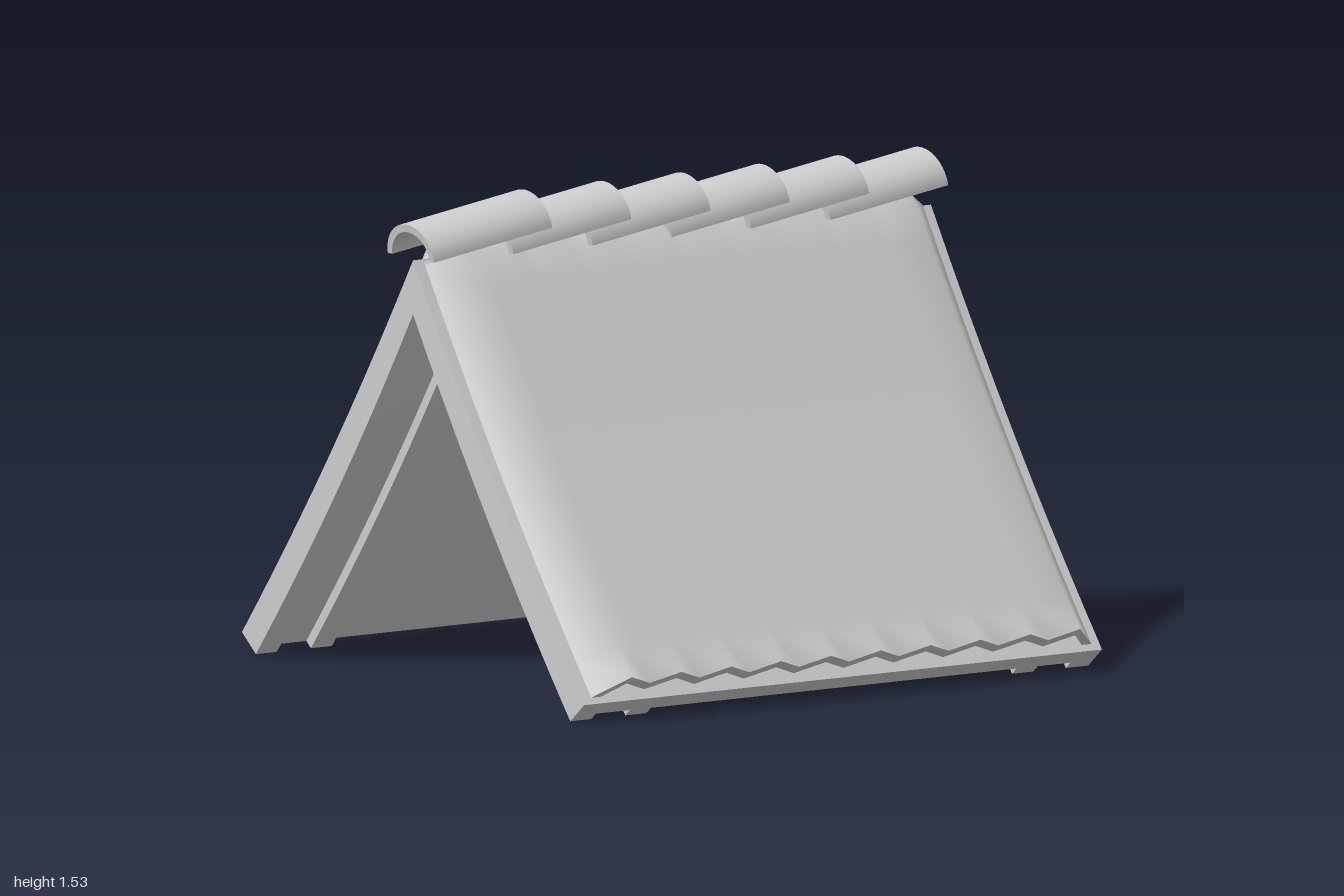
import * as THREE from 'three';
import { toCreasedNormals } from 'three/addons/utils/BufferGeometryUtils.js';

const material = new THREE.MeshStandardMaterial({ color: 0xcccccc });
const v2 = (x, y) => new THREE.Vector2(x, y);

// Sagging slope lines on the +x side: top and underside of the rafters
const topLine = new THREE.QuadraticBezierCurve(v2(0, 1.345), v2(0.42, 0.675), v2(0.92, 0.06));
const underLine = new THREE.QuadraticBezierCurve(v2(0, 1.175), v2(0.385, 0.56), v2(0.845, 0));

function addMesh(parent, name, geometry) {
  const mesh = new THREE.Mesh(geometry, material);
  mesh.name = name;
  parent.add(mesh);
  return mesh;
}

// Inverted V between the top line and a line part of the way to the underside
function slopeGeometry(depthFraction, zBack, zFront) {
  const n = 10;
  const outer = topLine.getPoints(n);
  const under = underLine.getPoints(n);
  const inner = outer.map((p, i) => p.clone().lerp(under[i], depthFraction));
  const mirror = (p) => v2(-p.x, p.y);
  const outline = [
    ...outer.slice().reverse(),
    ...outer.slice(1).map(mirror),
    ...inner.slice(1).reverse().map(mirror),
    ...inner,
  ];
  const geometry = new THREE.ExtrudeGeometry(new THREE.Shape(outline), {
    depth: zFront - zBack, bevelEnabled: false,
  });
  geometry.translate(0, 0, zBack);
  return toCreasedNormals(geometry, 0.4);
}

// Corrugated sheet running from one eave over the ridge to the other
function sheetGeometry() {
  const thickness = 0.037;
  // Cross-section along z: height above the rafters
  const upper = [[0.937, 0]];
  for (let i = 0; i <= 18; i++) upper.push([0.84 - i * 0.095, i % 2 ? 0.055 : 0.105]);
  upper.push([-0.97, 0]);
  const lower = upper.map(([z, h]) => [
    h === 0 ? z - Math.sign(z) * thickness : z, Math.max(0, h - thickness),
  ]);
  const n = upper.length;
  const loop = [...upper, ...lower.reverse()];

  // Rows: a base point and its outward direction
  const side = [];
  for (let i = 0; i <= 12; i++) {
    const t = 0.015 + (0.985 - 0.015) * i / 12;
    const tangent = topLine.getTangent(t);
    side.push({ p: topLine.getPoint(t), d: v2(-tangent.y, tangent.x) });
  }
  const mirrored = side.map(({ p, d }) => ({ p: v2(-p.x, p.y), d: v2(-d.x, d.y) }));
  const rows = [...side.reverse(), { p: v2(0, 1.345), d: v2(0, 0.85) }, ...mirrored];

  const positions = [];
  const index = [];
  for (const { p, d } of rows) {
    for (const [z, h] of loop) positions.push(p.x + d.x * h, p.y + d.y * h, z);
  }
  const m = loop.length;
  for (let r = 0; r < rows.length - 1; r++) {
    for (let i = 0; i < m; i++) {
      const a = r * m + i, c = r * m + (i + 1) % m;
      index.push(a, c, a + m, a + m, c, c + m);
    }
  }
  // Zigzag end faces at both eaves
  const last = (rows.length - 1) * m;
  for (let i = 0; i < n - 1; i++) {
    const u = i, w = i + 1, l = m - 1 - i, k = m - 2 - i;
    index.push(u, l, w, l, k, w);
    index.push(last + u, last + w, last + l, last + l, last + w, last + k);
  }
  const geometry = new THREE.BufferGeometry();
  geometry.setAttribute('position', new THREE.Float32BufferAttribute(positions, 3));
  geometry.setIndex(index);
  return toCreasedNormals(geometry, 1.4);
}

// Half-round ridge tile, its back end at z = 0
function tileGeometry() {
  const shape = new THREE.Shape();
  shape.absellipse(0, 0, 0.125, 0.107, 0, Math.PI, false);
  shape.absellipse(0, 0, 0.1, 0.082, Math.PI, 0, true);
  shape.closePath();
  const geometry = new THREE.ExtrudeGeometry(shape, {
    depth: 0.455, bevelEnabled: false, curveSegments: 14,
  });
  return toCreasedNormals(geometry, 0.7);
}

export function createModel() {
  const model = new THREE.Group();
  model.name = 'roof';

  // Four rafter pairs under a thinner ceiling board
  const rafters = new THREE.Group();
  rafters.name = 'rafters';
  model.add(rafters);
  for (const [back, front] of [[0.895, 0.975], [0.685, 0.765], [-0.79, -0.71], [-1, -0.915]]) {
    addMesh(rafters, 'rafterPair', slopeGeometry(1, back, front));
  }
  addMesh(model, 'ceilingBoard', slopeGeometry(0.67, -0.99, 0.965));

  addMesh(model, 'corrugatedSheet', sheetGeometry());

  // Overlapping ridge tiles, each dipping towards the front
  const ridge = new THREE.Group();
  ridge.name = 'ridgeTiles';
  model.add(ridge);
  const tile = tileGeometry();
  for (let i = 0; i < 6; i++) {
    const mesh = addMesh(ridge, 'ridgeTile', tile);
    mesh.position.set(0, 1.424, 0.533 - i * 0.302);
    mesh.rotation.x = 0.155;
  }
  return model;
}
